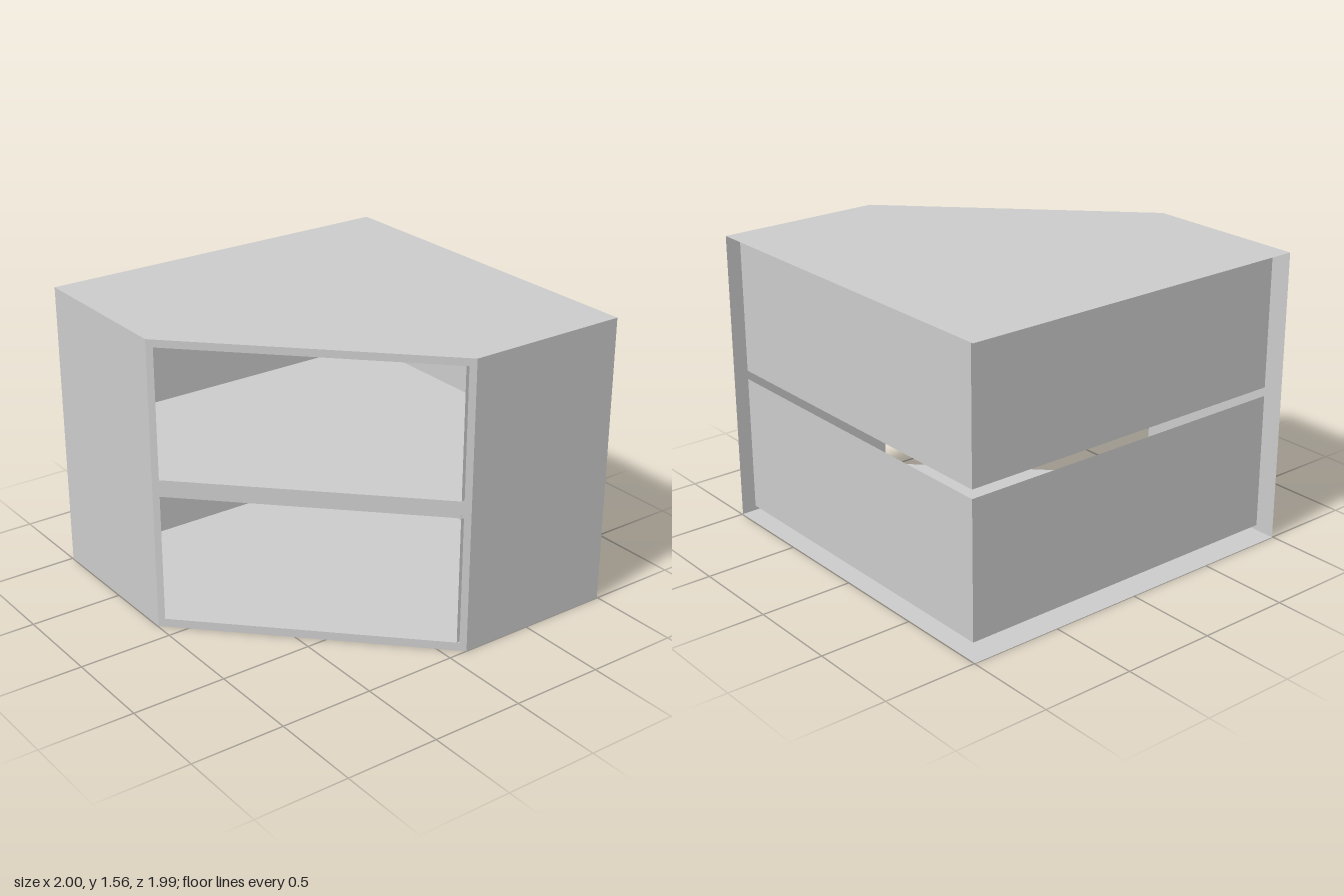
import * as THREE from 'three';

const material = new THREE.MeshStandardMaterial({ color: 0xcccccc, side: THREE.DoubleSide });
const HEIGHT = 1.56;

// Plan outlines as [x, z], running from the +z side round to the -x side
const caseOutline = [[-1, 0.995], [-0.11, 0.995], [1, -0.105], [1, -0.995], [-1, -0.995]];
const binOutline = [[0.965, -0.07], [0.965, -0.935], [-0.91, -0.935], [-0.91, 0.97], [-0.085, 0.97]];

function addMesh(parent, name, geometry) {
  const mesh = new THREE.Mesh(geometry, material);
  mesh.name = name;
  parent.add(mesh);
  return mesh;
}

// Horizontal sheet cut to a plan outline
function addSheet(parent, name, outline, y, facesUp = true) {
  const s = facesUp ? -1 : 1;
  const shape = new THREE.Shape(outline.map(([x, z]) => new THREE.Vector2(x, s * z)));
  const geometry = new THREE.ShapeGeometry(shape).rotateX((s * Math.PI) / 2);
  addMesh(parent, name, geometry).position.y = y;
}

// Stands a flat geometry (drawn from its own left end) on the line from a to b
function addUpright(parent, name, geometry, a, b, y) {
  const mesh = addMesh(parent, name, geometry);
  mesh.position.set(a[0], y, a[1]);
  mesh.rotation.y = Math.atan2(a[1] - b[1], b[0] - a[0]);
}

const distance = (a, b) => Math.hypot(b[0] - a[0], b[1] - a[1]);

function addWall(parent, name, a, b, y0, y1) {
  const w = distance(a, b), h = y1 - y0;
  addUpright(parent, name, new THREE.PlaneGeometry(w, h).translate(w / 2, h / 2, 0), a, b, y0);
}

function rectangle(Type, x0, y0, x1, y1) {
  return new Type([[x0, y0], [x1, y0], [x1, y1], [x0, y1]].map(p => new THREE.Vector2(...p)));
}

// Open-topped compartment: floor and four walls, open to the diagonal front
function addBin(parent, name, y0, y1) {
  const bin = new THREE.Group();
  bin.name = name;
  addSheet(bin, 'compartmentFloor', binOutline, y0);
  for (let i = 0; i < binOutline.length - 1; i++) {
    addWall(bin, 'compartmentWall', binOutline[i], binOutline[i + 1], y0, y1);
  }
  parent.add(bin);
}

export function createModel() {
  const cabinet = new THREE.Group();
  cabinet.name = 'cornerCabinet';

  // Outer case, open at the two sides that stand against the room walls
  addSheet(cabinet, 'topPanel', caseOutline, HEIGHT);
  addSheet(cabinet, 'bottomPanel', caseOutline, 0, false);
  addWall(cabinet, 'frontSidePanel', caseOutline[0], caseOutline[1], 0, HEIGHT);
  addWall(cabinet, 'rearSidePanel', caseOutline[2], caseOutline[3], 0, HEIGHT);

  // Diagonal face frame with two openings
  const [, a, b] = caseOutline;
  const width = distance(a, b), stile = 0.036;
  const frame = rectangle(THREE.Shape, 0, 0, width, HEIGHT);
  for (const [y0, y1] of [[0.045, 0.735], [0.825, 1.52]]) {
    frame.holes.push(rectangle(THREE.Path, stile, y0, width - stile, y1));
  }
  addUpright(cabinet, 'faceFrame', new THREE.ShapeGeometry(frame), a, b, 0);

  // Two compartments behind the openings
  addBin(cabinet, 'lowerCompartment', 0.045, 0.778);
  addBin(cabinet, 'upperCompartment', 0.825, 1.525);

  return cabinet;
}
